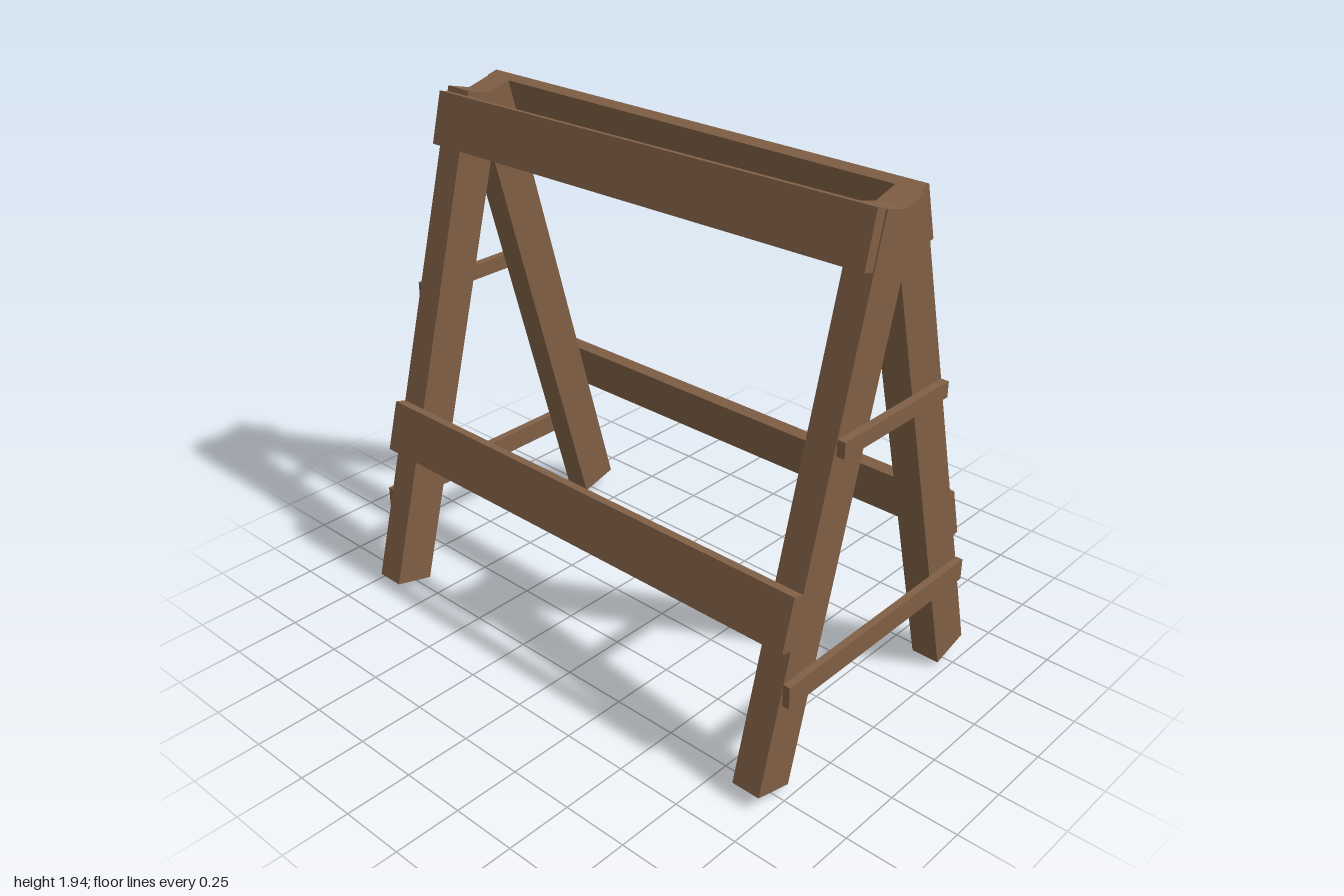
import * as THREE from 'three';

export function createModel() {
  const model = new THREE.Group();
  model.name = 'sawhorse';
  const wood = new THREE.MeshStandardMaterial({ color: 0x805f45 });
  wood.name = 'brown wood';

  // Box given by its minimum and maximum on each axis
  function plank(name, parent, [x0, x1], [y0, y1], [z0, z1]) {
    const mesh = new THREE.Mesh(new THREE.BoxGeometry(x1 - x0, y1 - y0, z1 - z0), wood);
    mesh.name = name;
    mesh.position.set((x0 + x1) / 2, (y0 + y1) / 2, (z0 + z1) / 2);
    parent.add(mesh);
    return mesh;
  }

  // Each leaning side: local y runs up the legs, local z points outward
  const lean = THREE.MathUtils.degToRad(15);
  const sides = [
    { name: 'front', s: 1, feet: [-0.009, 0.007], top: [-0.96, 0.965], topY: [1.738, 1.932], tilt: 0.012, low: [-0.97, 0.97], lowY: [0.53, 0.725] },
    { name: 'back', s: -1, feet: [0.007, 0.007], top: [-0.975, 0.95], topY: [1.745, 1.94], tilt: 0, low: [-0.97, 0.955], lowY: [0.5, 0.695] },
  ];
  for (const side of sides) {
    const frame = new THREE.Group();
    frame.name = side.name + 'Side';
    frame.rotation.order = 'YXZ';
    frame.rotation.set(-lean, side.s > 0 ? 0 : Math.PI, 0);
    frame.position.set(0, 0.05, 0.6 * side.s);
    model.add(frame);
    const spanX = ([a, b]) => (side.s > 0 ? [a, b] : [-b, -a]);

    // Legs meet and overlap at the top
    plank(side.name + 'RightLeg', frame, spanX([-0.97, -0.86]), [side.feet[0], 1.94], [-0.16, 0]);
    plank(side.name + 'LeftLeg', frame, spanX([0.86, 0.97]), [side.feet[1], 1.94], [-0.16, 0]);

    // Long boards nailed to the outside of the legs
    plank(side.name + 'TopBoard', frame, spanX(side.top), side.topY, [0, 0.045]).rotation.z = side.tilt;
    plank(side.name + 'LowerBoard', frame, spanX(side.low), side.lowY, [0, 0.045]);
  }

  // Cross rungs on the outer faces of both ends
  plank('leftUpperRung', model, [0.97, 1], [1.185, 1.243], [-0.28, 0.28]);
  plank('leftLowerRung', model, [0.97, 0.997], [0.37, 0.453], [-0.497, 0.495]);
  plank('rightUpperRung', model, [-1, -0.97], [1.135, 1.195], [-0.29, 0.28]);
  plank('rightLowerRung', model, [-1, -0.97], [0.307, 0.388], [-0.51, 0.505]);

  return model;
}
